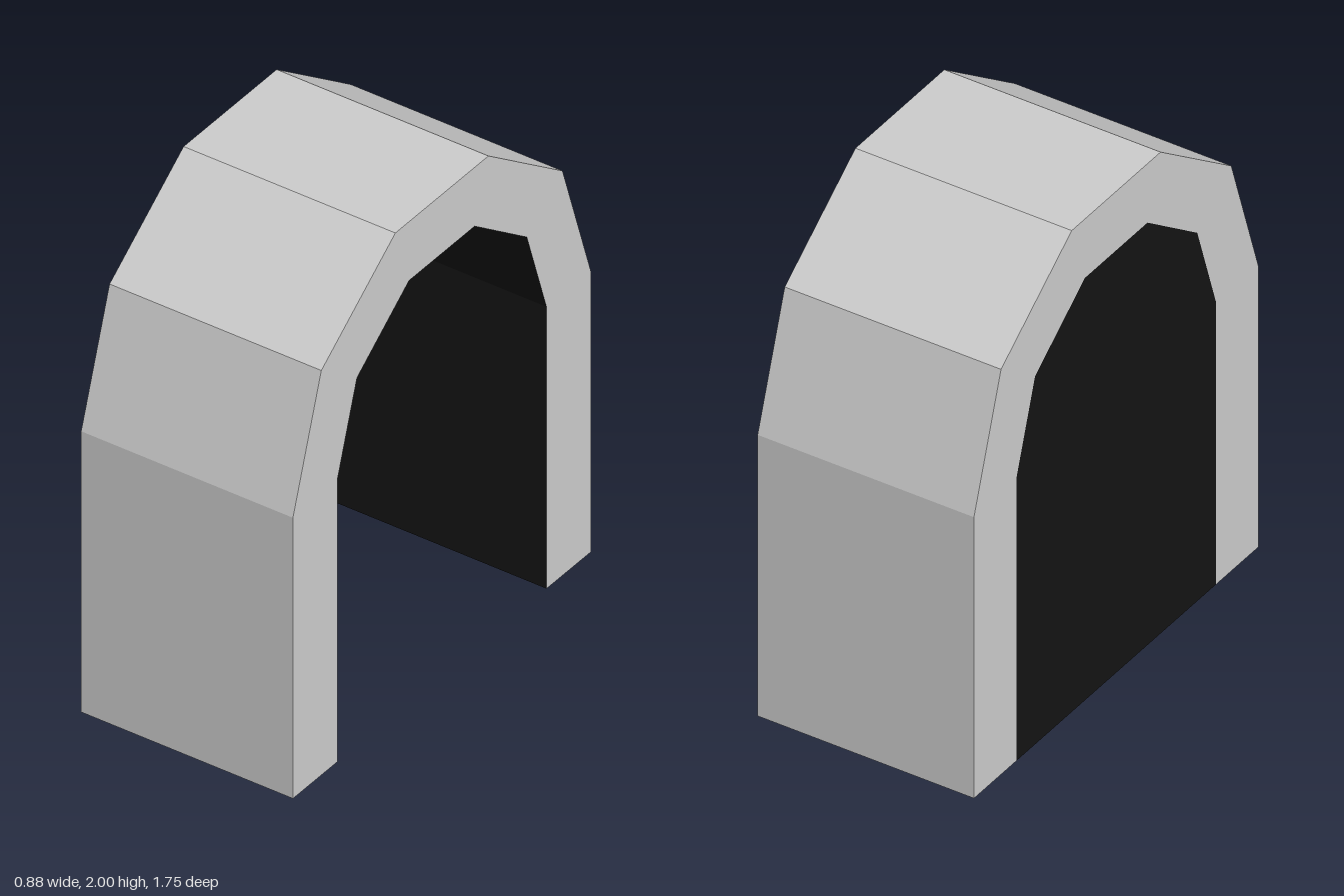
import * as THREE from 'three';

const HALF = 0.438; // half the tunnel's length along x

// Mirrors a half profile of [z, y] points into a full arch, +z foot to -z foot
const arch = (half) => [...half, ...half.map(([z, y]) => [-z, y]).reverse()];

// Sweeps an open [z, y] path along x as flat-faceted quads
function ribbon(path) {
  const pos = [];
  for (let i = 0; i < path.length - 1; i++) {
    const [az, ay] = path[i], [bz, by] = path[i + 1];
    pos.push(-HALF, ay, az, HALF, ay, az, HALF, by, bz);
    pos.push(-HALF, ay, az, HALF, by, bz, -HALF, by, bz);
  }
  const g = new THREE.BufferGeometry();
  g.setAttribute('position', new THREE.Float32BufferAttribute(pos, 3));
  g.computeVertexNormals();
  return g;
}

// Flat outline closing one end; side is +1 or -1 along x
function endFace(points, side) {
  const shape = new THREE.Shape(points.map(([z, y]) => new THREE.Vector2(z, y)));
  return new THREE.ShapeGeometry(shape).rotateY(side * Math.PI / 2).translate(side * HALF, 0, 0);
}

export function createModel() {
  const model = new THREE.Group();
  const grey = new THREE.MeshStandardMaterial({ color: 0xcccccc, flatShading: true });
  const black = new THREE.MeshStandardMaterial({ color: 0x141414, flatShading: true, side: THREE.DoubleSide });
  const add = (name, geometry, material) => {
    const mesh = new THREE.Mesh(geometry, material);
    mesh.name = name;
    model.add(mesh);
  };

  const outer = arch([[0.877, 0], [0.877, 1.168], [0.71, 1.683], [0.274, 2]]);
  const inner = arch([[0.616, 0], [0.616, 1.172], [0.5, 1.53], [0.193, 1.755]]);
  const innerBack = [...inner].reverse();

  // Outside walls, roof and the undersides of both feet
  add('archShell', ribbon([inner[0], ...outer, innerBack[0]]), grey);
  // Arch-shaped rims at the two ends
  add('openEndRim', endFace([...outer, ...innerBack], 1), grey);
  add('closedEndRim', endFace([...outer, ...innerBack], -1), grey);
  // Dark inside walls and ceiling
  add('innerLining', ribbon(innerBack), black);
  // Dark panel closing the -x end
  add('endPanel', endFace(inner, -1), black);
  return model;
}
